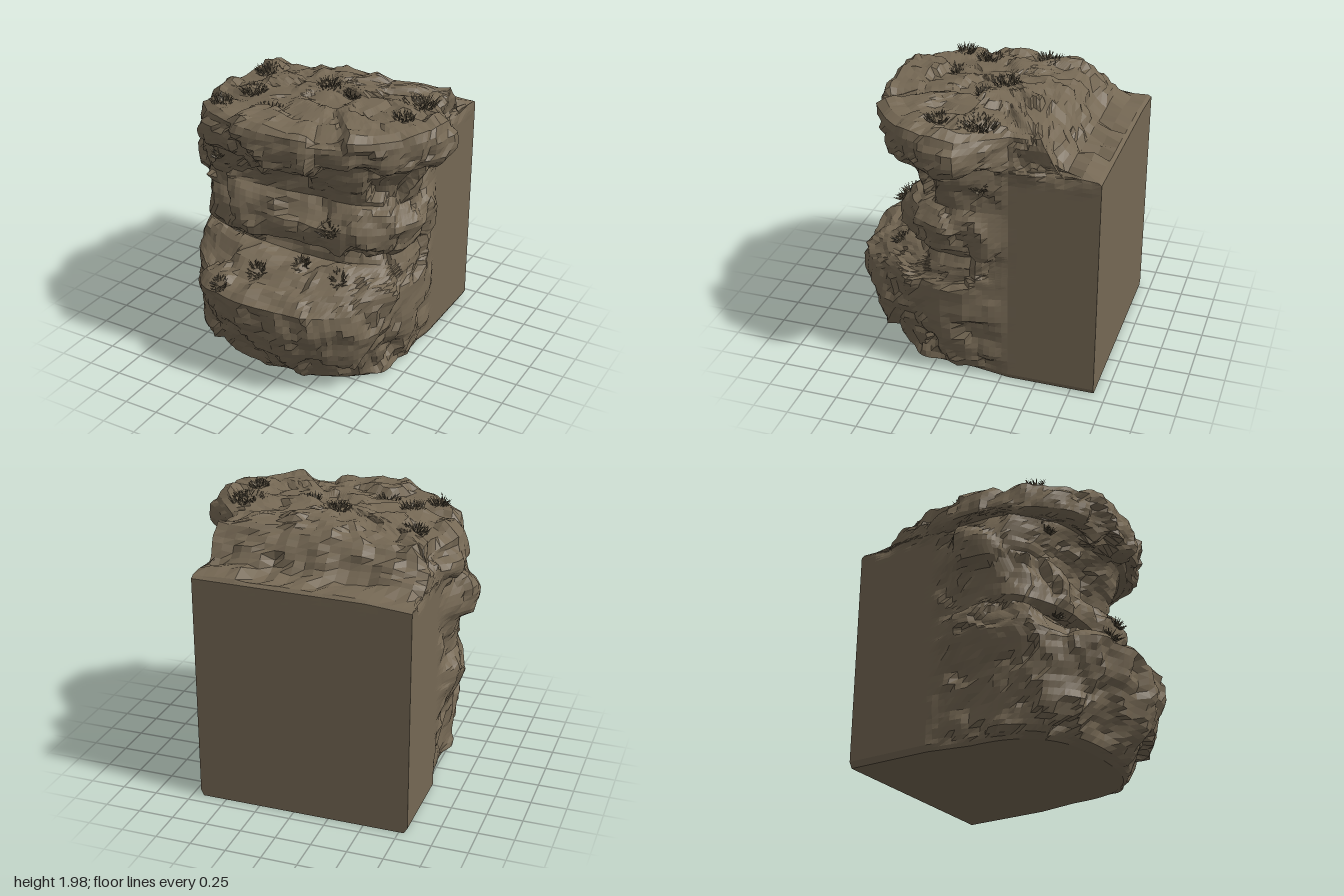
import * as THREE from 'three';

const rockMat = new THREE.MeshStandardMaterial({ color: 0x756854, flatShading: true });
rockMat.name = 'brown rock';
const grassMat = new THREE.MeshStandardMaterial({ color: 0x6b604c, side: THREE.DoubleSide });
grassMat.name = 'dry grass';
const smoothstep = THREE.MathUtils.smoothstep;

// seeded random and lattice hash
function seeded(seed) {
  return () => {
    seed = (seed * 1664525 + 1013904223) >>> 0;
    return seed / 4294967296;
  };
}
function hash(x, y, z, k) {
  const s = Math.sin(x * 127.1 + y * 311.7 + z * 74.7 + k * 53.3) * 43758.5453;
  return s - Math.floor(s);
}

// faceted rock relief: tilted planes around scattered points, blended at their borders
function facet(p, size) {
  const q = [p.x / size, p.y / size, p.z / size];
  const c = q.map(Math.floor);
  let total = 1e-9, sum = 0;
  for (let i = -1; i <= 1; i++) for (let j = -1; j <= 1; j++) for (let k = -1; k <= 1; k++) {
    const n = [c[0] + i, c[1] + j, c[2] + k];
    const d = n.map((v, a) => q[a] - v - hash(...n, a));
    const weight = Math.exp(-22 * (d[0] * d[0] + d[1] * d[1] + d[2] * d[2]));
    let value = hash(...n, 4) - 0.5;
    for (let a = 0; a < 3; a++) value += d[a] * (hash(...n, 5 + a) - 0.5) * 1.4;
    total += weight;
    sum += weight * value;
  }
  return sum / total;
}

// broad swellings and hollows: centre, radius, amount
const BULGES = [
  [-0.65, 1.36, 0.4, 0.24, 0.07],
  [-0.85, 1.4, 0.1, 0.22, 0.04],
  [-0.62, 0.9, 0.38, 0.22, 0.08],
  [-0.85, 0.78, 0.1, 0.18, 0.03],
  [-0.62, 0.72, 0.62, 0.18, -0.07],
  [0.05, 1.1, 0.53, 0.13, 0.02],
  [0.5, 1.1, 0.45, 0.16, 0.03],
  [0.2, 1.32, 0.43, 0.14, -0.03],
  [-0.2, 1.62, 0.6, 0.16, 0.05],
];
function bulge(p) {
  return BULGES.reduce((sum, [x, y, z, r, amount]) => {
    const d2 = (p.x - x) ** 2 + (p.y - y) ** 2 + (p.z - z) ** 2;
    return sum + amount * Math.exp(-d2 / (r * r));
  }, 0);
}

// side walls, back and underside stay flat
function roughness(p) {
  const top = smoothstep(p.y, 1.52, 1.64) * smoothstep(p.z, -0.92, -0.8);
  const face = smoothstep(p.z, -0.32, -0.12);
  return Math.max(face, top) * smoothstep(p.y, 0, 0.06) * smoothstep(Math.hypot(p.x, p.z), 0.02, 0.2);
}

// body sections: height, left x, right x, front z
const BODY = [
  [0, -0.73, 0.62, 0.6],
  [0.04, -0.77, 0.67, 0.66],
  [0.25, -0.79, 0.7, 0.81],
  [0.47, -0.82, 0.75, 0.89],
  [0.65, -0.86, 0.74, 0.91],
  [0.72, -0.87, 0.74, 0.84],
  [0.8, -0.88, 0.75, 0.62],
  [0.87, -0.87, 0.75, 0.44],
  [0.94, -0.83, 0.72, 0.42],
  [0.99, -0.84, 0.76, 0.52],
  [1.15, -0.87, 0.78, 0.53],
  [1.25, -0.9, 0.76, 0.47],
  [1.31, -0.91, 0.72, 0.42],
  [1.42, -0.91, 0.73, 0.44],
  [1.53, -0.86, 0.77, 0.52],
  [1.62, -0.83, 0.79, 0.57],
];
// cap sections add the back z and a back width factor
const CAP = [
  [1.64, -0.88, 0.88, 0.69, -0.89, 1],
  [1.67, -0.9, 0.91, 0.73, -0.68, 1],
  [1.72, -0.91, 0.925, 0.74, -0.61, 1],
  [1.79, -0.9, 0.93, 0.74, -0.56, 1],
  [1.86, -0.86, 0.89, 0.73, -0.5, 0.97],
  [1.885, -0.78, 0.82, 0.7, -0.46, 0.9],
];
const ROWS = [
  [0, 0, 0, 0, 0, 0],
  ...BODY.map((r, i) => [...r, -0.915, i ? 1 : 0.97]),
  ...CAP,
  [1.915, 0, 0, 0, 0, 0],
];

// one section: rounded front, straight sides, flat back
function section([y, xl, xr, zf, zb, k]) {
  const out = [], cx = (xl + xr) / 2, hx = (xr - xl) / 2;
  const power = y > 1.63 ? 0.88 : 0.75;
  const line = (x0, z0, x1, z1, n) => {
    for (let i = 0; i < n; i++) out.push([x0 + (x1 - x0) * i / n, z0 + (z1 - z0) * i / n]);
  };
  const FRONT = 60, bl = -0.81 * k, br = 0.69 * k, mid = Math.max(-0.3, zb * 0.6);
  for (let i = 0; i < FRONT; i++) {
    const t = Math.PI * i / FRONT, c = Math.cos(t);
    out.push([cx + hx * Math.sign(c) * Math.abs(c) ** power, zf * Math.sin(t) ** power]);
  }
  line(xl, 0, bl, mid, 7);
  line(bl, mid, bl, zb, 10);
  line(bl, zb, br, zb, 20);
  line(br, zb, br, mid, 10);
  line(br, mid, xr, 0, 7);
  // the cap sags to the left
  const w = smoothstep(y, 1.5, 1.75);
  return out.map(([x, z]) => [x, y + w * (0.02 * x - 0.16 * Math.max(0, -x - 0.5)), z]);
}

function cliffGeometry() {
  const loops = [];
  ROWS.forEach((r, i) => {
    const next = ROWS[i + 1] ?? r;
    const len = Math.hypot(next[0] - r[0], next[3] - r[3]);
    const n = i === 0 ? 1 : Math.max(1, Math.ceil(len / 0.05));
    for (let s = 0; s < n; s++) loops.push(section(r.map((v, a) => v + (next[a] - v) * s / n)));
  });
  const m = loops[0].length, index = [];
  for (let j = 0; j < loops.length - 1; j++) for (let i = 0; i < m; i++) {
    const a = j * m + i, b = j * m + (i + 1) % m;
    index.push(a, a + m, b, b, a + m, b + m);
  }
  const geo = new THREE.BufferGeometry();
  geo.setAttribute('position', new THREE.Float32BufferAttribute(loops.flat(2), 3));
  geo.setIndex(index);
  geo.computeVertexNormals();

  // push the surface in and out along its normals
  const pos = geo.attributes.position, nor = geo.attributes.normal;
  const p = new THREE.Vector3(), n = new THREE.Vector3();
  for (let i = 0; i < pos.count; i++) {
    p.fromBufferAttribute(pos, i);
    n.fromBufferAttribute(nor, i);
    const d = facet(p, 0.26) * 0.07 + facet(p, 0.13) * 0.025 + bulge(p);
    p.addScaledVector(n, d * roughness(p));
    pos.setXYZ(i, p.x, Math.max(0, p.y), p.z);
  }
  geo.computeVertexNormals();
  return geo;
}

// a tuft is a clump of thin pointed blades
function tuftGeometry(radius, rnd) {
  const v = [], count = Math.round(25 + radius * 600);
  for (let i = 0; i < count; i++) {
    const a = rnd() * 6.283, r = radius * 0.75 * Math.sqrt(rnd());
    const lean = a + (rnd() - 0.5) * 2.4, reach = 0.015 + rnd() * 0.04;
    const x = Math.cos(a) * r, z = Math.sin(a) * r, turn = rnd() * 6.283;
    const h = (0.025 + rnd() * 0.045) * (1.1 - 0.6 * r / radius);
    const wx = Math.cos(turn) * 0.008, wz = Math.sin(turn) * 0.008;
    v.push(x - wx, -0.01, z - wz, x + wx, -0.01, z + wz);
    v.push(x + Math.cos(lean) * reach, h, z + Math.sin(lean) * reach);
  }
  const geo = new THREE.BufferGeometry();
  geo.setAttribute('position', new THREE.Float32BufferAttribute(v, 3));
  geo.computeVertexNormals();
  return geo;
}
// tufts on the cap: x, z, radius
const CAP_TUFTS = [
  [-0.6, -0.2, 0.12], [-0.02, -0.07, 0.12], [0.2, 0.02, 0.07], [0.64, -0.08, 0.15], [0.66, 0.19, 0.08],
  [-0.48, 0.2, 0.1], [-0.6, 0.42, 0.08], [-0.24, 0.37, 0.09],
];
// tufts on the face: x, y, radius
const FACE_TUFTS = [
  [-0.19, 0.77, 0.07], [0.09, 0.84, 0.06], [0.4, 0.82, 0.06], [0.3, 1.15, 0.07],
  [-0.43, 0.94, 0.05], [-0.38, 0.7, 0.05], [-0.58, 1.5, 0.05],
];

export function createModel() {
  const model = new THREE.Group();
  model.name = 'cliffRock';
  const cliff = new THREE.Mesh(cliffGeometry(), rockMat);
  cliff.name = 'cliff';
  model.add(cliff);

  // seat each tuft on the rock surface
  const rnd = seeded(7), ray = new THREE.Raycaster();
  const plant = (origin, dir, radius, tiltX, tiltZ) => {
    ray.set(new THREE.Vector3(...origin), new THREE.Vector3(...dir));
    const hit = ray.intersectObject(cliff)[0];
    if (!hit) return;
    const tuft = new THREE.Mesh(tuftGeometry(radius, rnd), grassMat);
    tuft.name = 'grassTuft';
    tuft.position.copy(hit.point);
    tuft.rotation.set(tiltX, 0, tiltZ);
    model.add(tuft);
  };
  CAP_TUFTS.forEach(([x, z, r]) => plant([x, 3, z], [0, -1, 0], r, 0, 0));
  FACE_TUFTS.forEach(([x, y, r]) => plant([x, y, 3], [0, 0, -1], r, 0.6, 0));
  plant([3, 1.49, -0.12], [-1, 0, 0], 0.04, 0, -0.8);
  return model;
}
